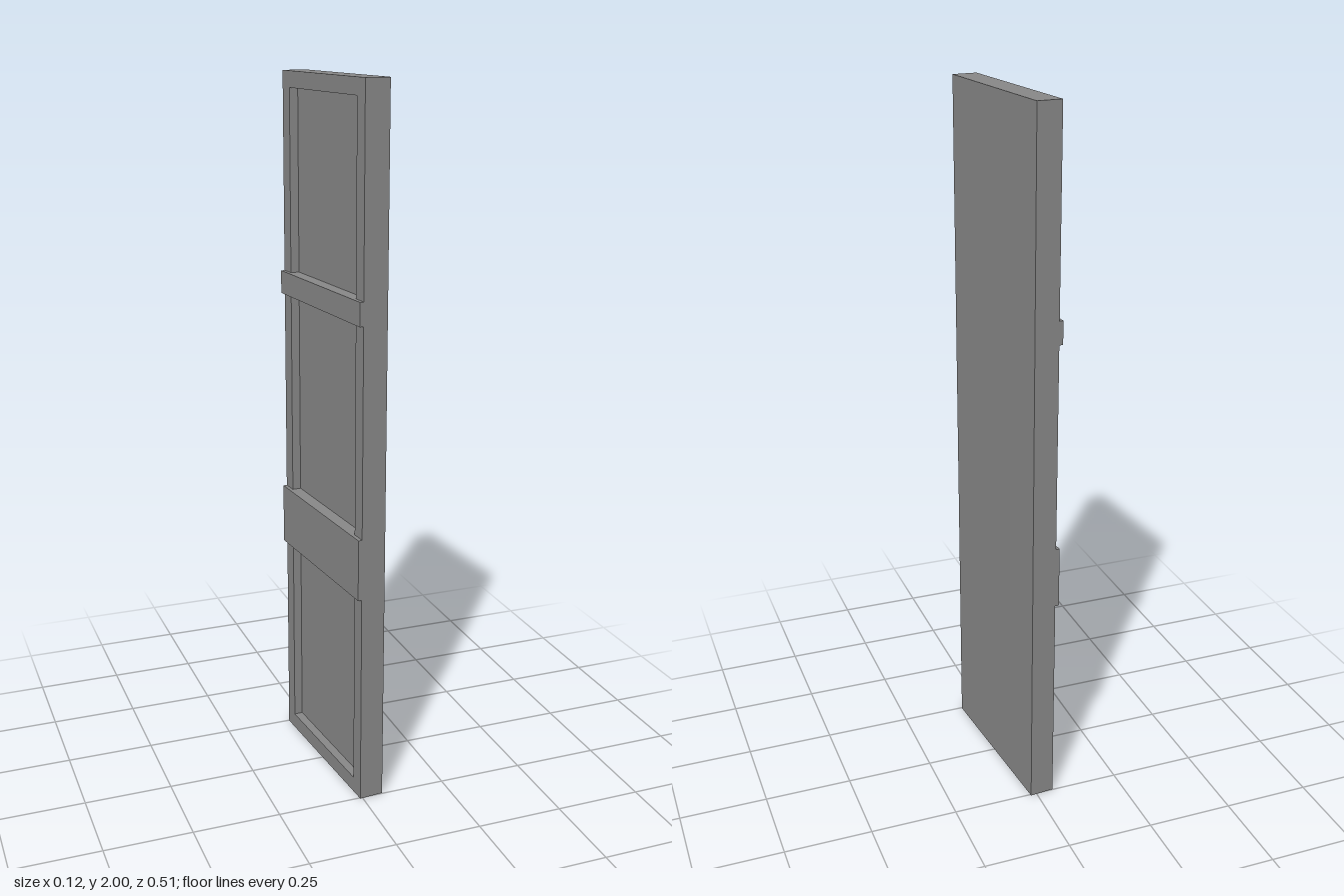
import * as THREE from 'three';

const HEIGHT = 2, WIDTH = 0.504, MARGIN = 0.045;
const OUTER = 0.0405;     // plain face
const RECESS = -0.0045;   // floor of the recessed panels
const FACE = -0.0295;     // face of the frame
const PROUD = -0.0405;    // face of the cross rails
const RAILS = [['lowerRail', 0.617, 0.793], ['upperRail', 1.38, 1.445]];

const material = new THREE.MeshStandardMaterial({ color: 0x888888 });

// Rectangle as points, centred on the door's width
function rectangle(width, y0, y1) {
  const w = width / 2;
  return [[-w, y0], [w, y0], [w, y1], [-w, y1]].map(([x, y]) => new THREE.Vector2(x, y));
}

// Full-width box between two depths and two heights
function slab(name, x0, x1, y0, y1) {
  const mesh = new THREE.Mesh(new THREE.BoxGeometry(x1 - x0, y1 - y0, WIDTH), material);
  mesh.position.set((x0 + x1) / 2, (y0 + y1) / 2, 0);
  mesh.name = name;
  return mesh;
}

export function createModel() {
  const model = new THREE.Group();
  model.name = 'panelledDoor';

  // Door leaf, standing slightly ajar
  const leaf = new THREE.Group();
  leaf.name = 'doorLeaf';
  leaf.rotation.y = THREE.MathUtils.degToRad(5);
  model.add(leaf);

  // Backing board: plain outside, panel floors inside
  leaf.add(slab('backingBoard', RECESS, OUTER, 0, HEIGHT));

  // Frame with an opening between each pair of rails
  const shape = new THREE.Shape(rectangle(WIDTH, 0, HEIGHT));
  let bottom = MARGIN;
  for (const [, y0, y1] of [...RAILS, ['top', HEIGHT - MARGIN, HEIGHT]]) {
    shape.holes.push(new THREE.Path(rectangle(WIDTH - 2 * MARGIN, bottom, y0).reverse()));
    bottom = y1;
  }
  const geometry = new THREE.ExtrudeGeometry(shape, { depth: RECESS - FACE, bevelEnabled: false });
  geometry.rotateY(-Math.PI / 2);
  const frame = new THREE.Mesh(geometry, material);
  frame.position.x = RECESS;
  frame.name = 'frame';
  leaf.add(frame);

  // Cross rails standing proud of the frame
  for (const [name, y0, y1] of RAILS) leaf.add(slab(name, PROUD, FACE, y0, y1));

  return model;
}
